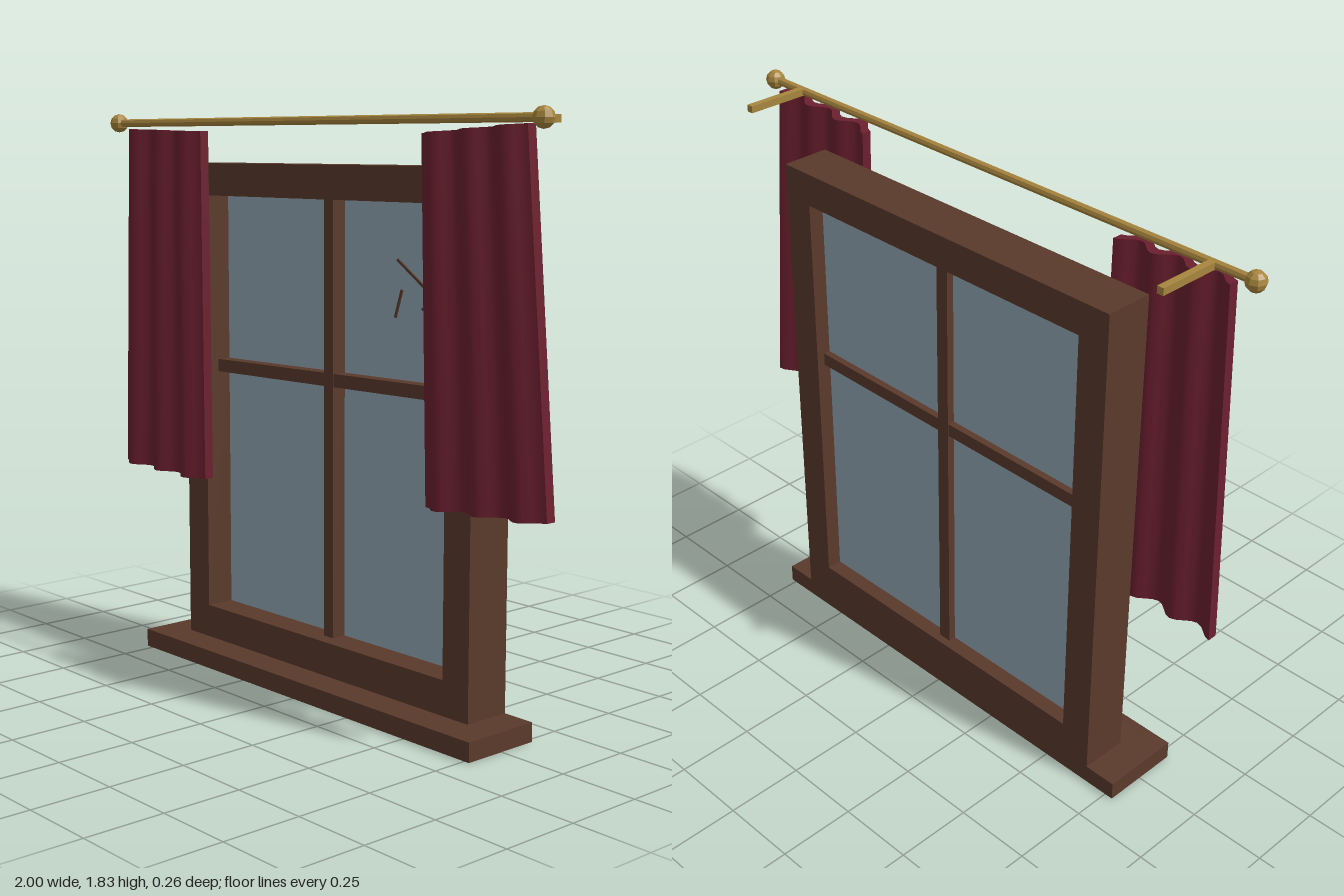
import * as THREE from 'three';
import { toCreasedNormals } from 'three/addons/utils/BufferGeometryUtils.js';

const material = (name, color, flatShading = false) => {
  const m = new THREE.MeshStandardMaterial({ color, flatShading });
  m.name = name;
  return m;
};

export function createModel() {
  const wood = material('brown wood', 0x5a3a2b);
  const glass = material('blue grey glass', 0x92a7b5);
  const cloth = material('dark red cloth', 0x6b1f2e);
  const brass = material('brass', 0xa8863e, true);

  const model = new THREE.Group();
  model.name = 'curtainedWindow';
  const cx = -0.005; // centre line of the window

  const add = (name, geometry, mat, x = 0, y = 0, z = 0) => {
    const mesh = new THREE.Mesh(geometry, mat);
    mesh.name = name;
    mesh.position.set(x, y, z);
    model.add(mesh);
    return mesh;
  };
  // Box given by its limits along each axis
  const box = (name, mat, [x0, x1], [y0, y1], [z0, z1]) =>
    add(name, new THREE.BoxGeometry(x1 - x0, y1 - y0, z1 - z0), mat,
      (x0 + x1) / 2, (y0 + y1) / 2, (z0 + z1) / 2);

  // Sill and frame
  box('sill', wood, [cx - 0.773, cx + 0.773], [0, 0.06], [-0.13, 0.135]);
  const rectangle = (path, w, y0, y1) =>
    path.moveTo(-w, y0).lineTo(w, y0).lineTo(w, y1).lineTo(-w, y1).closePath();
  const outline = new THREE.Shape();
  rectangle(outline, 0.665, 0.06, 1.665);
  const opening = new THREE.Path();
  rectangle(opening, 0.56, 0.17, 1.56);
  outline.holes.push(opening);
  add('frame', new THREE.ExtrudeGeometry(outline, { depth: 0.158, bevelEnabled: false }),
    wood, cx, 0, -0.13);

  // Pane and glazing bars, the cross bar slightly askew
  box('pane', glass, [cx - 0.56, cx + 0.56], [0.17, 1.56], [-0.079, -0.069]);
  box('uprightBar', wood, [cx - 0.022, cx + 0.022], [0.17, 1.56], [-0.104, -0.02]);
  const crossBar = box('crossBar', wood, [cx - 0.562, cx + 0.562], [0.977, 1.019], [-0.102, -0.022]);
  crossBar.rotation.z = 0.011;

  // Cracks in the upper pane
  const cracks = [
    [0.255, 1.385, 0.375, 1.305],
    [0.275, 1.295, 0.247, 1.21],
    [0.362, 1.242, 0.455, 1.29],
  ];
  for (const [x0, y0, x1, y1] of cracks) {
    const length = Math.hypot(x1 - x0, y1 - y0);
    const crack = add('crack', new THREE.BoxGeometry(length, 0.008, 0.006), wood,
      (x0 + x1) / 2, (y0 + y1) / 2, -0.067);
    crack.rotation.z = Math.atan2(y1 - y0, x1 - x0);
  }

  // Curtain rod with end knobs and wall brackets
  const rodY = 1.797, rodZ = 0.084;
  const rod = add('rod', new THREE.CylinderGeometry(0.013, 0.013, 1.92, 8), brass, cx, rodY, rodZ);
  rod.rotation.z = Math.PI / 2;
  for (const side of [-1, 1]) {
    add('knob', new THREE.SphereGeometry(0.031, 8, 6), brass, cx + side * 0.964, rodY, rodZ);
    const x = cx + side * 0.827;
    box('bracket', brass, [x - 0.011, x + 0.011], [rodY - 0.011, rodY + 0.011], [-0.13, rodZ]);
  }

  // Curtains: a slab stretched between four corners and rippled into three folds
  const curtain = (name, topLeft, topRight, bottomLeft, bottomRight) => {
    const geometry = new THREE.BoxGeometry(1, 1, 0.032, 24, 4, 1);
    const p = geometry.attributes.position;
    const mix = THREE.MathUtils.lerp;
    for (let i = 0; i < p.count; i++) {
      const u = p.getX(i) + 0.5, v = p.getY(i) + 0.5;
      const [x, y] = [0, 1].map((k) =>
        mix(mix(bottomLeft[k], bottomRight[k], u), mix(topLeft[k], topRight[k], u), v));
      p.setXYZ(i, x, y, p.getZ(i) + 0.088 - 0.02 * Math.cos(u * Math.PI * 6));
    }
    add(name, toCreasedNormals(geometry, Math.PI / 4), cloth);
  };
  curtain('rightCurtain', [-0.912, 1.777], [-0.514, 1.768], [-0.953, 0.63], [-0.506, 0.623]);
  curtain('leftCurtain', [0.505, 1.757], [0.903, 1.782], [0.534, 0.693], [0.997, 0.72]);

  return model;
}
